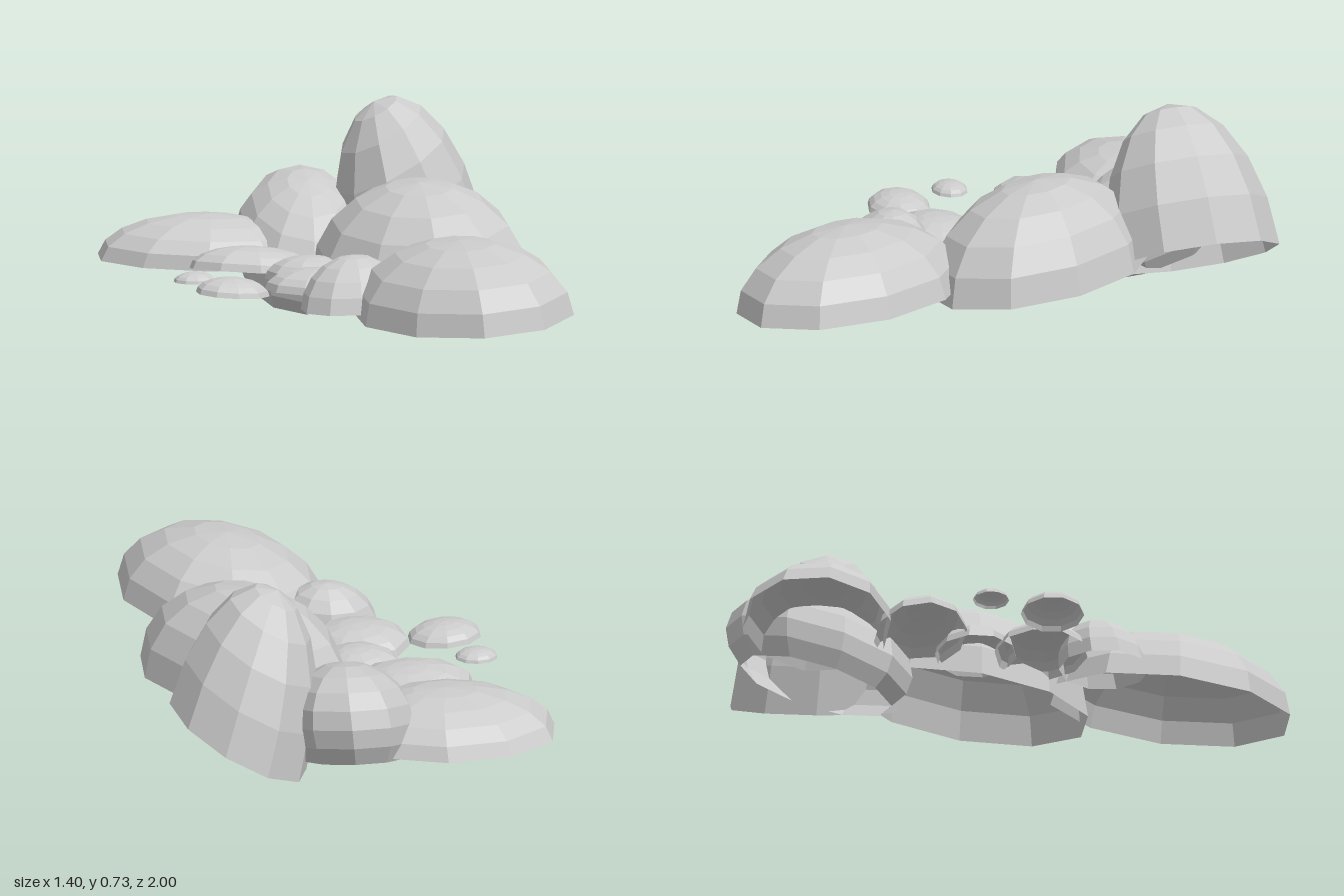
import * as THREE from 'three';

const material = new THREE.MeshStandardMaterial({
  color: 0xcccccc, flatShading: true, side: THREE.DoubleSide,
});

// Open ten-sided dome: two girth radii turned by yaw, a girth plane sloping
// in x and z, and an axis vector from the centre to the apex.
// Rows of 18 degrees run down from the apex; five of them end at the girth.
function dome(name, centre, radii, yaw, slope, axis, rows = 5) {
  const a = THREE.MathUtils.degToRad(yaw);
  const rimVector = (r, x, z) =>
    new THREE.Vector3(r * x, r * (x * slope[0] + z * slope[1]), r * z);
  const matrix = new THREE.Matrix4().makeBasis(
    rimVector(radii[0], Math.cos(a), Math.sin(a)),
    new THREE.Vector3(...axis),
    rimVector(radii[1], -Math.sin(a), Math.cos(a)),
  ).setPosition(...centre);
  const geometry = new THREE.SphereGeometry(1, 10, rows, 0, Math.PI * 2, 0, rows * Math.PI / 10);
  geometry.applyMatrix4(matrix);
  const mesh = new THREE.Mesh(geometry, material);
  mesh.name = name;
  return mesh;
}

export function createModel() {
  const group = new THREE.Group();
  group.name = 'domeCluster';
  group.add(
    // Large domes along the left side
    dome('frontDome', [0.337, 0.165, 0.58], [0.459, 0.345], 63, [0.09, -0.04], [-0.015, 0.264, 0.01]),
    dome('middleDome', [0.337, 0.165, -0.125], [0.445, 0.348], 63, [0.09, -0.09], [-0.01, 0.35, 0.01]),
    // Steeply tilted dome and a deeper, almost round one at the back
    dome('tallDome', [0.42, 0.185, -0.675], [0.243, 0.308], 0, [0.56, 0], [-0.147, 0.533, 0.045]),
    dome('backDome', [0.02, 0.218, -0.67], [0.33, 0.235], 95, [0, -0.32], [0.02, 0.225, 0.02], 7),
    // Low domes on the right side
    dome('backRightDome', [-0.335, 0.165, -0.69], [0.263, 0.38], 98, [-0.03, 0], [0.02, 0.168, 0.03]),
    dome('innerBackDome', [-0.22, 0.18, -0.32], [0.165, 0.24], 95, [-0.08, 0.12], [0, 0.092, 0]),
    dome('innerMiddleDome', [-0.06, 0.178, -0.12], [0.165, 0.145], 10, [-0.05, 0.05], [0, 0.09, 0]),
    dome('innerFrontDome', [-0.08, 0.178, 0.11], [0.195, 0.165], 10, [-0.05, 0.05], [0, 0.085, 0]),
    dome('smallFrontDome', [-0.01, 0.155, 0.335], [0.16, 0.185], 90, [0.04, 0], [0.01, 0.185, -0.03]),
    // Separate small caps
    dome('largeCap', [-0.4, 0.185, 0.14], [0.112, 0.132], 90, [-0.06, 0], [0, 0.06, 0]),
    dome('smallCap', [-0.49, 0.195, -0.08], [0.064, 0.076], 90, [0, 0], [0, 0.035, 0]),
  );
  return group;
}
